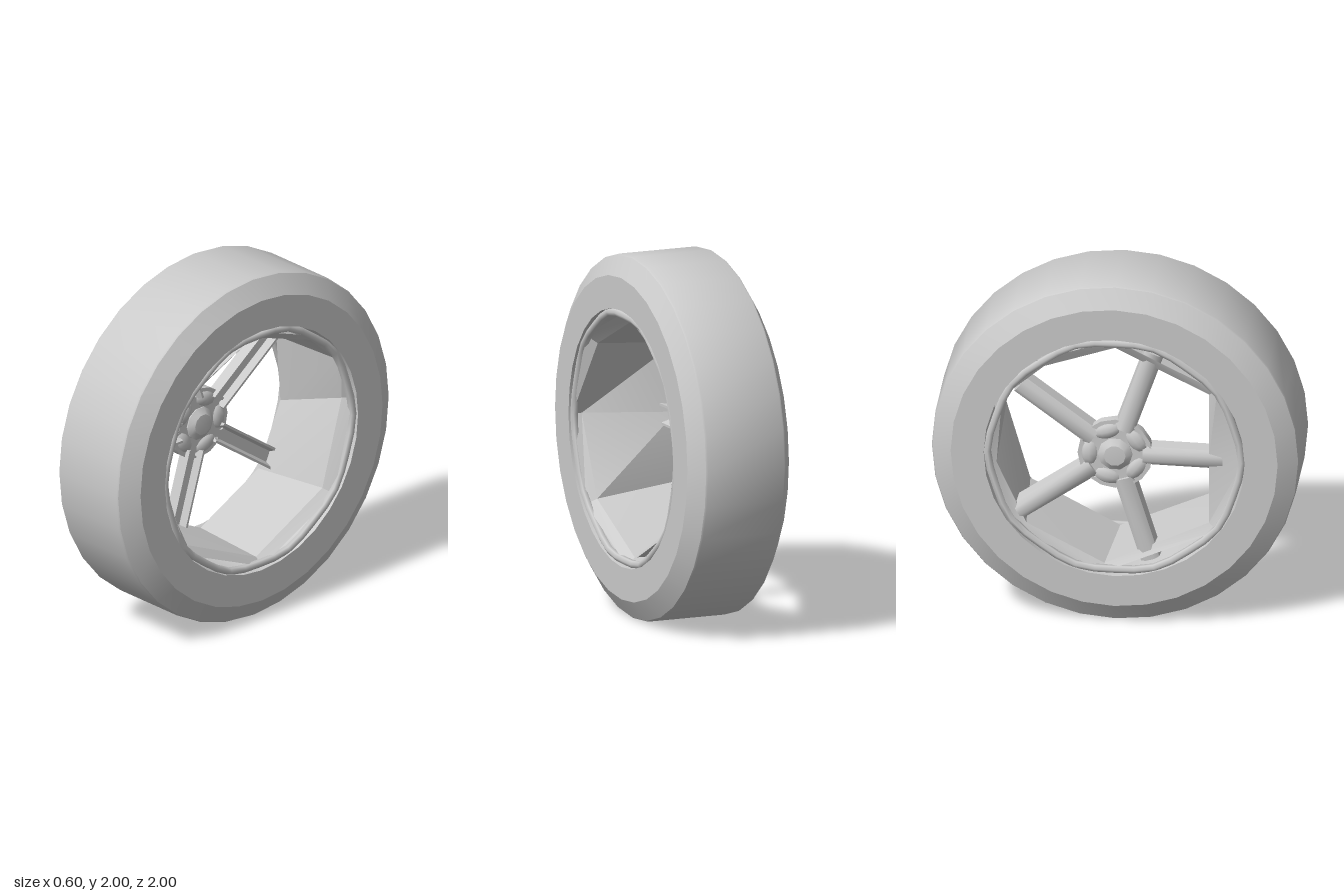
import * as THREE from 'three';
import { toCreasedNormals } from 'three/addons/utils/BufferGeometryUtils.js';

const grey = new THREE.MeshStandardMaterial({ color: 0xcccccc });
const thin = new THREE.MeshStandardMaterial({ color: 0xcccccc, side: THREE.DoubleSide });

// The wheel is modelled around the x axis; angles run from +z towards +y.
const polar = (x, r, deg) => {
  const a = THREE.MathUtils.degToRad(deg);
  return new THREE.Vector3(x, r * Math.sin(a), r * Math.cos(a));
};

function add(parent, name, geometry, material = grey) {
  const mesh = new THREE.Mesh(geometry, material);
  mesh.name = name;
  parent.add(mesh);
  return mesh;
}

// Revolve [radius, x] points around the x axis
function revolve(points, segments) {
  const g = new THREE.LatheGeometry(points.map(([r, x]) => new THREE.Vector2(r, x)), segments);
  g.rotateZ(-Math.PI / 2);
  return toCreasedNormals(g, 0.5);
}

// Skin rows of points, each row a closed loop
function loft(rows) {
  const n = rows[0].length;
  const index = [];
  for (let i = 0; i < rows.length - 1; i++) {
    for (let j = 0; j < n; j++) {
      const a = i * n + j, b = i * n + (j + 1) % n;
      index.push(a, b, a + n, b, b + n, a + n);
    }
  }
  const g = new THREE.BufferGeometry().setFromPoints(rows.flat());
  g.setIndex(index);
  g.computeVertexNormals();
  return toCreasedNormals(g, 0.45);
}

export function createModel() {
  const model = new THREE.Group();
  model.name = 'wheel';
  const wheel = new THREE.Group();
  wheel.name = 'wheelAssembly';
  wheel.position.y = 1;
  model.add(wheel);

  // Tyre with chamfered shoulders
  add(wheel, 'tyre', revolve([
    [0.71, -0.3], [0.89, -0.3], [0.995, -0.235], [1, -0.225],
    [1, 0.225], [0.995, 0.235], [0.89, 0.3], [0.71, 0.3], [0.71, -0.3],
  ], 32));

  // Faceted rim barrel with uneven panels
  const backAngles = [0, 37, 90, 127, 153, 187, 222, 265, 323];
  const backRadii = [0.51, 0.64, 0.64, 0.64, 0.69, 0.65, 0.65, 0.66, 0.64];
  const frontAngles = [0, 42, 90, 130, 150, 172, 218, 268, 318];
  const frontRadii = [0.69, 0.64, 0.65, 0.66, 0.69, 0.66, 0.65, 0.66, 0.65];
  const row = (x, radii, angles) => angles.map((a, i) => polar(x, radii[i], a));
  const edge = backAngles.map(() => 0.7);
  add(wheel, 'rimBarrel', loft([
    row(-0.28, edge, backAngles),
    row(-0.25, backRadii, backAngles),
    row(0.23, frontRadii, frontAngles),
    row(0.28, edge, frontAngles),
  ]), thin);

  // Wavy rim lips on both sides
  for (const side of [-1, 1]) {
    const path = [];
    for (let i = 0; i < 20; i++) {
      path.push(polar(side * 0.275, i % 2 ? 0.678 : 0.692, i * 18));
    }
    const curve = new THREE.CatmullRomCurve3(path, true);
    add(wheel, side > 0 ? 'leftRimLip' : 'rightRimLip',
      new THREE.TubeGeometry(curve, 40, 0.022, 6, true));
  }

  // Five channel-shaped spokes, open towards the inside
  const channel = new THREE.Shape([
    [-0.058, -0.165], [-0.052, -0.24], [-0.025, -0.262], [0.025, -0.262], [0.052, -0.24],
    [0.058, -0.165], [0.045, -0.165], [0.03, -0.205], [-0.03, -0.205], [-0.045, -0.165],
  ].map(([w, x]) => new THREE.Vector2(x, w)));
  const spokeGeometry = new THREE.ExtrudeGeometry(channel, { depth: 0.5, bevelEnabled: false });
  spokeGeometry.translate(0, 0, 0.15);
  const creasedSpoke = toCreasedNormals(spokeGeometry, 0.7);
  const spokes = new THREE.Group();
  spokes.name = 'spokes';
  wheel.add(spokes);
  for (let i = 0; i < 5; i++) {
    add(spokes, 'spoke', creasedSpoke).rotation.x = -THREE.MathUtils.degToRad(i * 72 - 1);
  }

  // Hub: perforated plate, ring of rounded lobes and a centre cap
  const hub = new THREE.Group();
  hub.name = 'hub';
  wheel.add(hub);
  const plate = new THREE.Shape().absarc(0, 0, 0.205, 0, Math.PI * 2);
  for (let i = 0; i < 5; i++) {
    for (const offset of [-12, 12]) {
      const p = polar(0, 0.175, i * 72 + offset);
      plate.holes.push(new THREE.Path().absarc(-p.z, p.y, 0.017, 0, Math.PI * 2, true));
    }
  }
  const plateGeometry = new THREE.ExtrudeGeometry(plate, { depth: 0.05, bevelEnabled: false, curveSegments: 8 });
  plateGeometry.rotateY(Math.PI / 2);
  plateGeometry.translate(-0.245, 0, 0);
  add(hub, 'hubPlate', toCreasedNormals(plateGeometry, 0.8));
  for (let i = 0; i < 5; i++) {
    const lobe = add(hub, 'hubLobe', new THREE.SphereGeometry(1, 10, 8));
    lobe.scale.set(0.045, 0.085, 0.055);
    lobe.position.copy(polar(-0.22, 0.14, i * 72 + 36));
    lobe.rotation.x = -THREE.MathUtils.degToRad(i * 72 + 36);
  }
  add(hub, 'centreCap', revolve([
    [0, -0.28], [0.06, -0.275], [0.095, -0.25], [0.095, -0.19], [0.06, -0.165], [0, -0.16],
  ], 10));

  return model;
}
